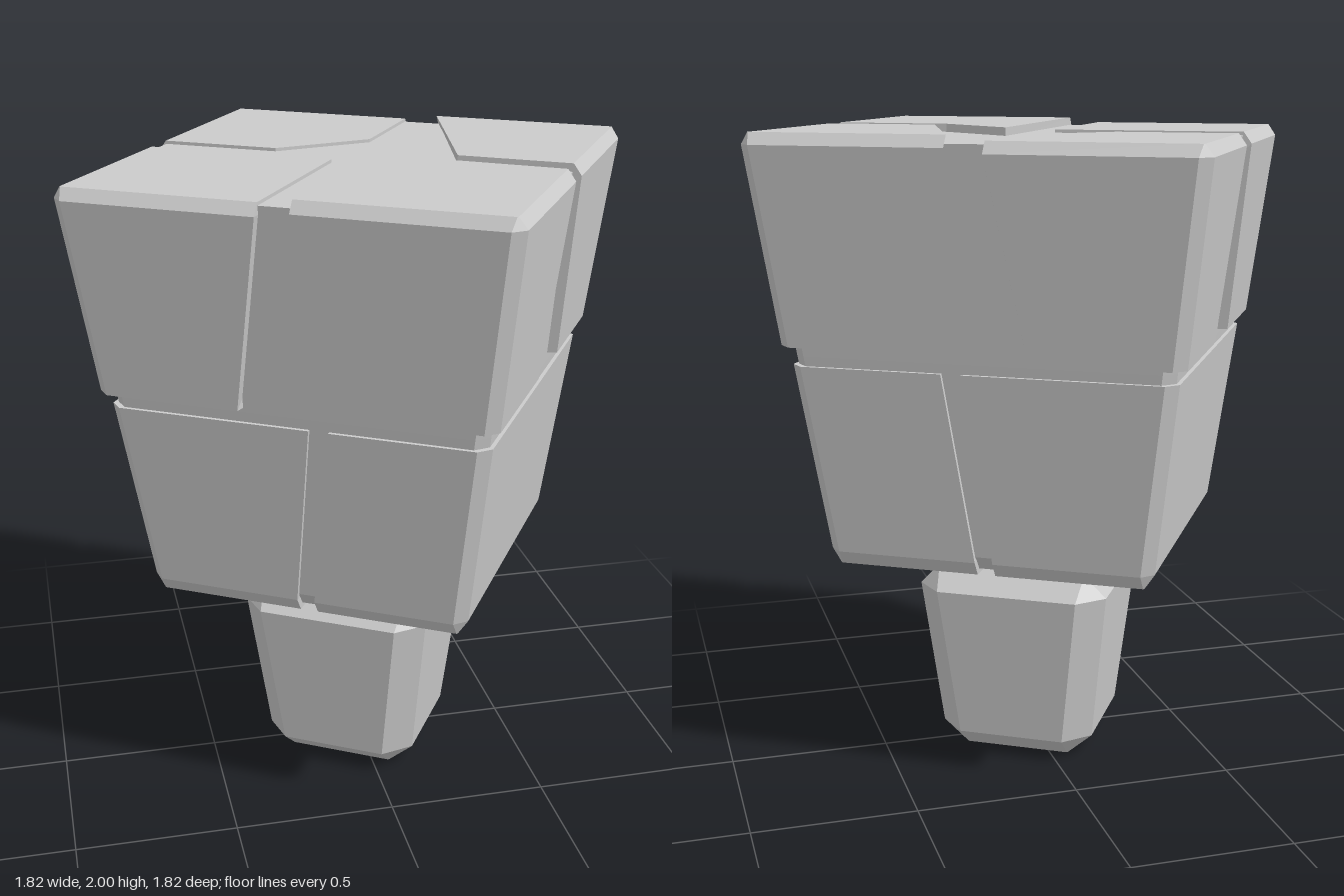
import * as THREE from 'three';

const material = new THREE.MeshStandardMaterial({ color: 0xcccccc, flatShading: true });

// Joins level outlines {y, ring: [[x, z], ...]}, bottom to top, into a closed faceted solid.
function loft(name, levels) {
  const rings = levels.map(({ y, ring }) => {
    const pts = ring.map(([x, z]) => new THREE.Vector2(x, z));
    if (THREE.ShapeUtils.area(pts) < 0) pts.reverse();
    return { y, pts };
  });
  const pos = [];
  const put = (level, i) => pos.push(level.pts[i].x, level.y, level.pts[i].y);
  const n = rings[0].pts.length;

  // Side walls
  for (let k = 0; k < rings.length - 1; k++) {
    const lo = rings[k], hi = rings[k + 1];
    for (let i = 0; i < n; i++) {
      const j = (i + 1) % n;
      put(lo, i); put(hi, i); put(lo, j);
      put(lo, j); put(hi, i); put(hi, j);
    }
  }

  // End caps
  const bottom = rings[0], top = rings[rings.length - 1];
  for (const [a, b, c] of THREE.ShapeUtils.triangulateShape(bottom.pts, [])) {
    put(bottom, a); put(bottom, b); put(bottom, c);
  }
  for (const [a, b, c] of THREE.ShapeUtils.triangulateShape(top.pts, [])) {
    put(top, c); put(top, b); put(top, a);
  }

  const geometry = new THREE.BufferGeometry();
  geometry.setAttribute('position', new THREE.Float32BufferAttribute(pos, 3));
  geometry.computeVertexNormals();
  const mesh = new THREE.Mesh(geometry, material);
  mesh.name = name;
  return mesh;
}

// Square of half-width h with corners cut by c
const cutSquare = (h, c) => [
  [h, -h + c], [h, h - c], [h - c, h], [-h + c, h],
  [-h, h - c], [-h, -h + c], [-h + c, -h], [h - c, -h],
];

// Half of a cut square, from the split line at x = g out to the side s
const halfSquare = (s, h, c, g) => [
  [g, -h], [s * (h - c), -h], [s * h, -h + c],
  [s * h, h - c], [s * (h - c), h], [g, h],
];

// Quadrant outline: onX is z of the seam on the x face, onZ is x of the seam on the z face
const quadrant = (sx, sz, h, c, onX, onZ, inner) => [
  [sx * h, onX], [sx * h, sz * (h - c)], [sx * (h - c), sz * h], [onZ, sz * h], ...inner,
];

export function createModel() {
  const model = new THREE.Group();
  model.name = 'splitBlockMark';
  const turned = new THREE.Group();
  turned.name = 'turnedBlocks';
  turned.rotation.y = THREE.MathUtils.degToRad(-31.7);
  model.add(turned);

  // Small tapered block at the foot
  turned.add(loft('footBlock', [
    { y: 0, ring: cutSquare(0.17, 0.003) },
    { y: 0.07, ring: cutSquare(0.25, 0.08) },
    { y: 0.56, ring: cutSquare(0.305, 0.08) },
    { y: 0.63, ring: cutSquare(0.24, 0.003) },
  ]));

  // Recessed core seen in the seams
  turned.add(loft('core', [
    { y: 0.705, ring: cutSquare(0.46, 0.02) },
    { y: 0.75, ring: cutSquare(0.493, 0.036) },
    { y: 1.35, ring: cutSquare(0.572, 0.036) },
    { y: 1.975, ring: cutSquare(0.648, 0.036) },
  ]));

  // Two lower halves with a slanted split
  for (const [name, s, gLow, gHigh] of [['lowerLeftHalf', 1, 0.035, 0.11], ['lowerRightHalf', -1, -0.02, 0.05]]) {
    turned.add(loft(name, [
      { y: 0.69, ring: halfSquare(s, 0.475, 0.003, gLow) },
      { y: 0.735, ring: halfSquare(s, 0.505, 0.036, gLow) },
      { y: 1.32, ring: halfSquare(s, 0.58, 0.036, gHigh) },
    ]));
  }

  // Four upper panels: signs, height offset, seam [onX, onZ] at bottom and top, inner corners
  const panels = [
    ['upperBackRightPanel', -1, -1, -0.015, [-0.1, -0.16], [-0.04, -0.05], [[-0.05, -0.27], [-0.28, -0.04]]],
    ['upperBackLeftPanel', 1, -1, 0, [-0.16, 0.1], [-0.04, 0.06], [[0.3, -0.045]]],
    ['upperFrontLeftPanel', 1, 1, 0, [0.1, 0.09], [0.04, 0.04], [[0.03, -0.18], [0.285, 0.027]]],
    ['upperFrontRightPanel', -1, 1, -0.015, [0.15, -0.155], [0.06, -0.06], [[-0.06, 0.06]]],
  ];
  for (const [name, sx, sz, dy, low, high, inner] of panels) {
    turned.add(loft(name, [
      { y: 1.38 + dy, ring: quadrant(sx, sz, 0.605, 0.036, ...low, inner) },
      { y: 1.965 + dy, ring: quadrant(sx, sz, 0.675, 0.036, ...high, inner) },
      { y: 2 + dy, ring: quadrant(sx, sz, 0.65, 0.003, ...high, inner) },
    ]));
  }

  return model;
}
